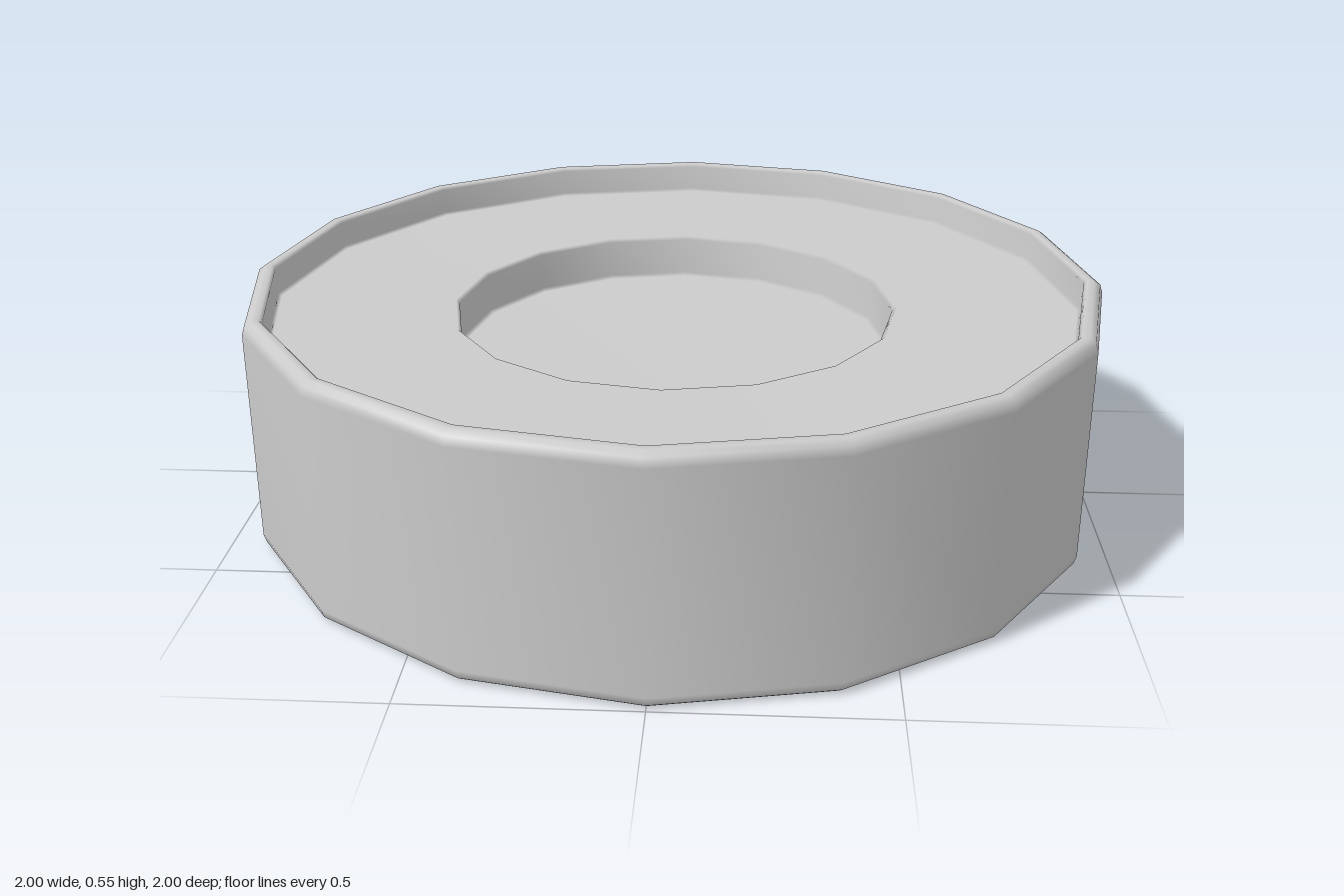
import * as THREE from 'three';
import { mergeVertices } from 'three/addons/utils/BufferGeometryUtils.js';

const HEIGHT = 0.55;
const SIDES = 16;

export function createModel() {
  const group = new THREE.Group();
  group.name = 'recessedDisc';

  // Upper half of the profile: outer wall, rounded rim, recessed face, centre well
  const upper = [
    [1, 0.52], [0.994, 0.54], [0.98, 0.55], [0.962, 0.55], [0.955, 0.543],
    [0.953, 0.48], [0.946, 0.473], [0.523, 0.473], [0.515, 0.465],
    [0.513, 0.375], [0.505, 0.367], [0, 0.367],
  ];

  // The underside mirrors the top; the profile runs from bottom centre to top centre
  const lower = upper.map(([r, y]) => [r, HEIGHT - y]).reverse();
  const profile = [...lower, ...upper].map(([r, y]) => new THREE.Vector2(r, y));

  // Weld the seam so the area-weighted normals are smooth all round
  const lathe = new THREE.LatheGeometry(profile, SIDES);
  lathe.deleteAttribute('uv');
  lathe.deleteAttribute('normal');
  const geometry = mergeVertices(lathe, 1e-4);
  geometry.computeVertexNormals();

  const disc = new THREE.Mesh(geometry, new THREE.MeshStandardMaterial({ color: 0xcccccc }));
  disc.name = 'discBody';
  group.add(disc);
  return group;
}
